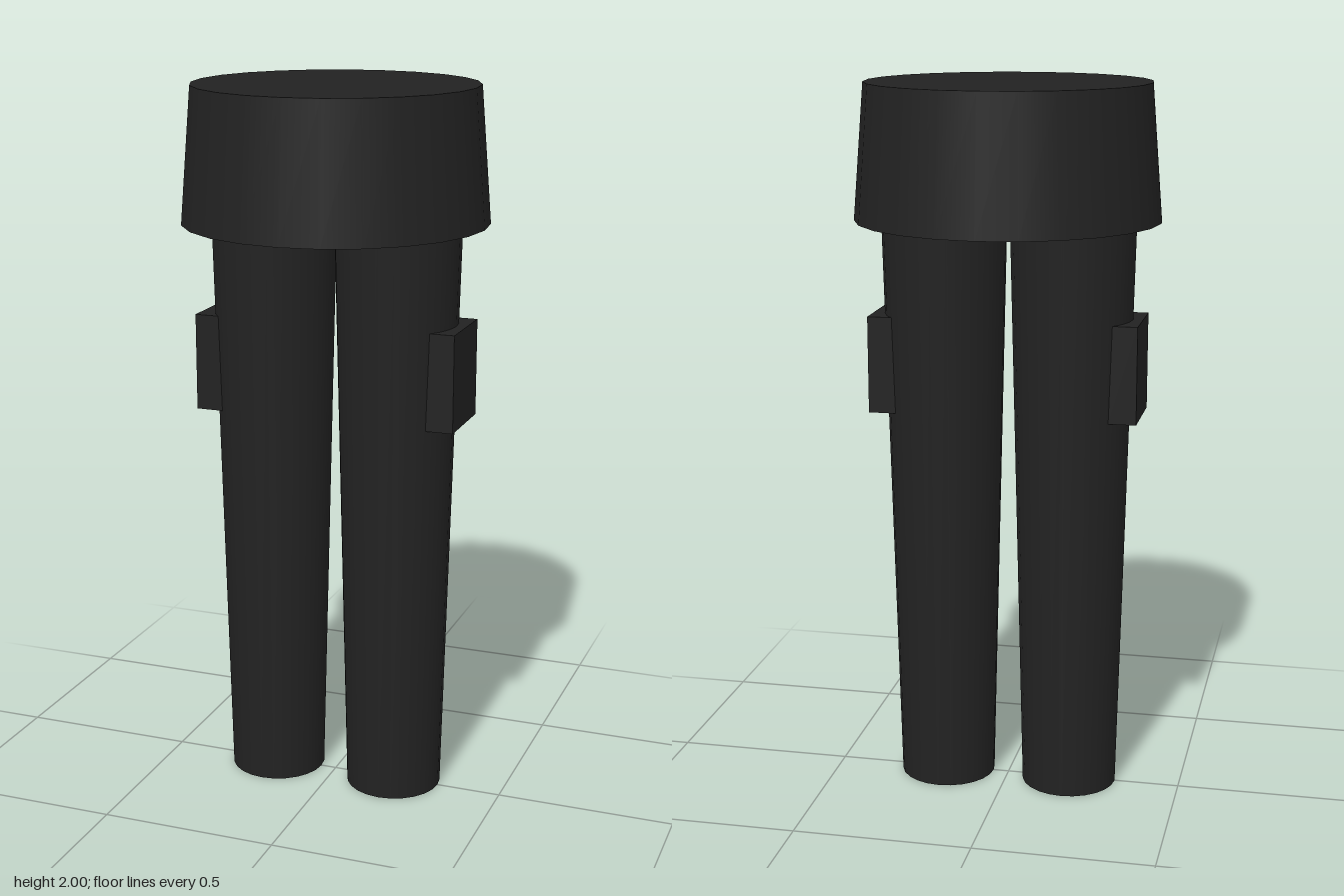
import * as THREE from 'three';

export function createModel() {
  const model = new THREE.Group();
  model.name = 'trousers';
  const cloth = new THREE.MeshStandardMaterial({ color: 0x222222 });
  cloth.name = 'black cloth';

  const add = (name, geometry, x, y) => {
    const mesh = new THREE.Mesh(geometry, cloth);
    mesh.name = name;
    mesh.position.set(x, y, 0);
    model.add(mesh);
  };

  // Flared hip section
  add('waist', new THREE.CylinderGeometry(0.39, 0.42, 0.37, 24), 0, 1.815);

  // Tapered legs with a flat pocket on each outer side
  for (const [side, s] of [['left', 1], ['right', -1]]) {
    add(side + 'Leg', new THREE.CylinderGeometry(0.173, 0.135, 1.63, 24), s * 0.18, 0.815);
    add(side + 'Pocket', new THREE.BoxGeometry(0.076, 0.27, 0.216), s * 0.336, 1.23);
  }
  return model;
}
